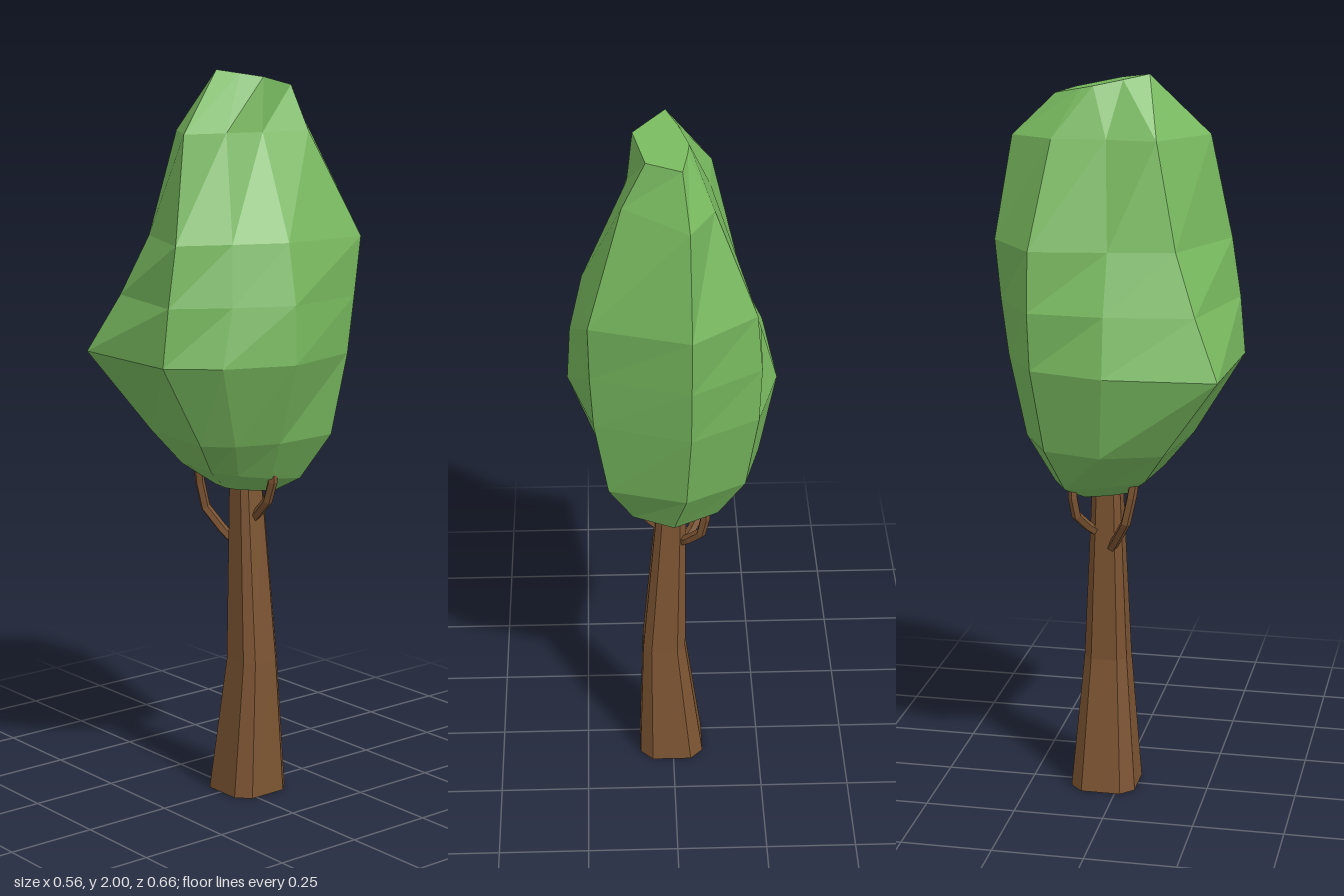
import * as THREE from 'three';

const leafMaterial = new THREE.MeshStandardMaterial({ color: 0x77b85e, flatShading: true });
const barkMaterial = new THREE.MeshStandardMaterial({ color: 0x7c5432, flatShading: true });

// Closed skin over rings of points, ordered bottom to top
function loft(rings) {
  const n = rings[0].length;
  const positions = [];
  const tri = (...pts) => pts.forEach((p) => positions.push(p.x, p.y, p.z));
  const middle = (ring) =>
    ring.reduce((sum, p) => sum.add(p), new THREE.Vector3()).divideScalar(n);
  const low = rings[0], high = rings[rings.length - 1];
  const lowMid = middle(low), highMid = middle(high);
  for (let i = 0; i < n; i++) {
    const j = (i + 1) % n;
    for (let k = 0; k < rings.length - 1; k++) {
      const a = rings[k], b = rings[k + 1];
      tri(a[i], a[j], b[j]);
      tri(a[i], b[j], b[i]);
    }
    tri(lowMid, low[j], low[i]);
    tri(highMid, high[i], high[j]);
  }
  const geometry = new THREE.BufferGeometry();
  geometry.setAttribute('position', new THREE.Float32BufferAttribute(positions, 3));
  geometry.computeVertexNormals();
  return geometry;
}

function addMesh(group, name, geometry, material) {
  const mesh = new THREE.Mesh(geometry, material);
  mesh.name = name;
  group.add(mesh);
}

// Crown cross-sections: height, slope towards the front, then the x, z of
// eight ridges running from front right round by the left and the back
const crownSections = [
  [0.87, 0.15, [-0.05, 0.03], [0.02, 0.05], [0.05, 0.03], [0.06, -0.03], [0.05, -0.1], [0, -0.13], [-0.05, -0.09], [-0.06, -0.02]],
  [0.915, 0.15, [-0.12, 0.09], [0.04, 0.115], [0.1, 0.07], [0.13, -0.02], [0.11, -0.14], [0, -0.185], [-0.12, -0.13], [-0.14, -0.02]],
  [1.02, 0, [-0.18, 0.15], [0.09, 0.19], [0.15, 0.12], [0.19, 0], [0.175, -0.195], [-0.03, -0.255], [-0.19, -0.17], [-0.235, -0.01]],
  [1.245, 0, [-0.26, 0.305], [0.105, 0.325], [0.21, 0.21], [0.28, 0.02], [0.21, -0.22], [-0.04, -0.3], [-0.22, -0.2], [-0.28, 0.005]],
  [1.4, 0, [-0.2, 0.235], [0.11, 0.31], [0.2, 0.17], [0.27, 0.015], [0.218, -0.235], [-0.04, -0.32], [-0.225, -0.205], [-0.235, 0]],
  [1.56, 0, [-0.15, 0.175], [0.11, 0.285], [0.175, 0.15], [0.235, 0.01], [0.22, -0.255], [-0.04, -0.335], [-0.21, -0.205], [-0.18, 0]],
  [1.84, 0, [-0.105, 0.115], [0.075, 0.23], [0.1, 0.11], [0.115, 0], [0.13, -0.145], [-0.035, -0.285], [-0.1, -0.165], [-0.095, -0.02]],
  [1.985, 0.2, [-0.015, 0.01], [0.015, 0.075], [0.058, 0.03], [0.1, -0.015], [0.07, -0.135], [-0.02, -0.17], [-0.035, -0.1], [-0.04, -0.065]],
];

const crownRing = ([y, slope, ...ridges]) =>
  ridges.map(([x, z]) => new THREE.Vector3(x, y + z * slope, z));

// Trunk sections: height, centre x, centre z, half width
const trunkSections = [
  [0, 0.005, -0.04, 0.091],
  [0.38, 0.025, -0.04, 0.06],
  [0.9, 0.002, -0.036, 0.038],
];

// Square with bevelled corners
function trunkRing([y, cx, cz, half]) {
  const r = half * 1.17;
  return Array.from({ length: 8 }, (_, i) => {
    const a = Math.floor(i / 2) * (Math.PI / 2) + (i % 2 ? 0.548 : -0.548);
    return new THREE.Vector3(cx + r * Math.sin(a), y, cz + r * Math.cos(a));
  });
}

const branches = {
  leftBranch: [[0.01, 0.76, -0.035], [0.07, 0.815, -0.035], [0.115, 0.87, -0.033], [0.122, 0.96, -0.03]],
  frontRightBranch: [[-0.01, 0.69, -0.03], [-0.06, 0.75, 0.005], [-0.092, 0.81, 0.035], [-0.088, 0.95, 0.06]],
  backRightBranch: [[-0.01, 0.74, -0.05], [-0.045, 0.775, -0.085], [-0.08, 0.82, -0.11], [-0.085, 0.92, -0.115]],
};

export function createModel() {
  const tree = new THREE.Group();
  tree.name = 'tree';

  addMesh(tree, 'crown', loft(crownSections.map(crownRing)), leafMaterial);
  addMesh(tree, 'trunk', loft(trunkSections.map(trunkRing)), barkMaterial);

  // Short bent branches running up into the crown
  for (const [name, points] of Object.entries(branches)) {
    const path = new THREE.CatmullRomCurve3(points.map((p) => new THREE.Vector3(...p)));
    addMesh(tree, name, new THREE.TubeGeometry(path, 4, 0.014, 5), barkMaterial);
  }
  return tree;
}
